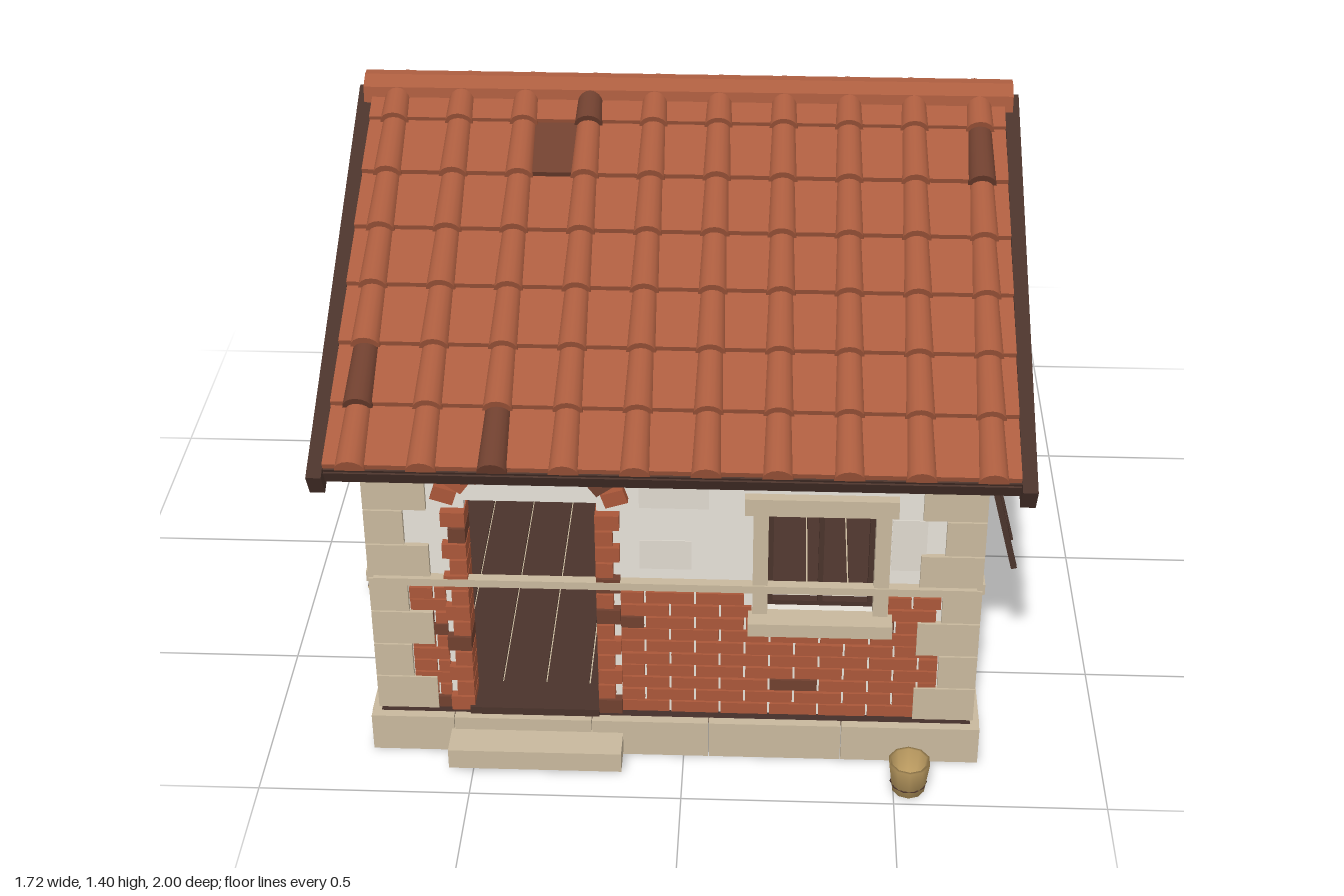
import * as THREE from 'three';

const mat = (name, color) => Object.assign(new THREE.MeshStandardMaterial({ color }), { name });
const M = {
  tile: mat('terracotta', 0xac5d3f), tileDark: mat('dark clay', 0x70402f), straw: mat('straw wood', 0xba9a60),
  wood: mat('dark wood', 0x4a332b), stone: mat('stone', 0xc8b89d), plaster: mat('plaster', 0xe6e1d8),
  worn: mat('worn plaster', 0xdfd9cf), brick: mat('brick', 0xaa5739), soot: mat('soot', 0x442e29),
};

let seed = 7;
const rnd = () => (seed = (seed * 16807) % 2147483647) / 2147483647;

function add(parent, name, geo, material, x = 0, y = 0, z = 0) {
  const m = new THREE.Mesh(geo, material);
  m.name = name;
  m.position.set(x, y, z);
  parent.add(m);
  return m;
}
function group(parent, name, x = 0, y = 0, z = 0) {
  const g = new THREE.Group();
  g.name = name;
  g.position.set(x, y, z);
  parent.add(g);
  return g;
}
// Box given by its limits on each axis
const box = (p, name, m, x0, x1, y0, y1, z0, z1) =>
  add(p, name, new THREE.BoxGeometry(x1 - x0, y1 - y0, z1 - z0), m, (x0 + x1) / 2, (y0 + y1) / 2, (z0 + z1) / 2);

const HX = 0.70, HZ = 0.812;          // half sizes of the walls
const RIDGE = 1.355, SLOPE = 0.515, ANGLE = Math.atan(SLOPE), COS = Math.cos(ANGLE);

// Wall with openings, outer face on local z = 0
function wall(f, hw, gable, openings) {
  const pts = [[-hw, 0.1], [hw, 0.1], [hw, 0.885]];
  if (gable) pts.push([0, 1.31]);
  pts.push([-hw, 0.885]);
  const s = new THREE.Shape(pts.map(p => new THREE.Vector2(...p)));
  for (const [a, b, c, d] of openings)
    s.holes.push(new THREE.Path([[a, c], [a, d], [b, d], [b, c]].map(p => new THREE.Vector2(...p))));
  add(f, 'wall', new THREE.ExtrudeGeometry(s, { depth: 0.06, bevelEnabled: false }), M.plaster, 0, 0, -0.06);
}

// Rows of bricks between the corners, leaving out blocked areas
function brickwork(f, hw, blocked) {
  const g = group(f, 'brickwork'), h = 0.0357, len = 0.117;
  for (let r = 0; r < 10; r++) {
    const y = 0.104 + r * h;
    let spans = [[-hw + 0.08, hw - 0.08]];
    for (const [a, b, c, d] of blocked) if (y + h > c && y < d)
      spans = spans.flatMap(([s, e]) => (b <= s || a >= e ? [[s, e]] : [[s, a], [b, e]]));
    for (const [s, e] of spans)
      for (let x = s - (r % 2) * len / 2; x < e; x += len) {
        const a = Math.max(x, s), b = Math.min(x + len - 0.005, e);
        if (b - a > 0.015) box(g, 'brick', rnd() < 0.06 ? M.tileDark : M.brick, a, b, y, y + h - 0.005, -0.01, 0.007 + rnd() * 0.004);
      }
  }
}

// Large window with a stone surround and a wooden casement
function stoneWindow(f, a, b, c, d) {
  const g = group(f, 'stoneWindow');
  box(g, 'lintel', M.stone, a - 0.055, b + 0.05, d, d + 0.045, -0.03, 0.025);
  box(g, 'sill', M.stone, a - 0.045, b + 0.045, c - 0.035, c, -0.03, 0.06);
  box(g, 'jamb', M.stone, a - 0.035, a, c, d, -0.03, 0.02);
  box(g, 'jamb', M.stone, b, b + 0.035, c, d, -0.03, 0.02);
  const m = (a + b) / 2, t = 0.012;
  for (const x of [a, m - t / 2, b - t]) box(g, 'casementStile', M.wood, x, x + t, c, d, -0.04, -0.02);
  for (const y of [c, d - t]) box(g, 'casementRail', M.wood, a, b, y, y + t, -0.041, -0.019);
}

// Small window with brick jambs, wooden lintel and bars
function smallWindow(f, x) {
  const g = group(f, 'smallWindow', x);
  box(g, 'lintel', M.wood, -0.11, 0.11, 0.655, 0.688, -0.05, 0.03);
  box(g, 'sill', M.stone, -0.13, 0.13, 0.427, 0.46, -0.04, 0.062);
  for (const s of [-1, 1]) for (let i = 0; i < 5; i++)
    add(g, 'jambBrick', new THREE.BoxGeometry(i % 2 ? 0.024 : 0.032, 0.036, 0.08), i % 2 ? M.tileDark : M.brick, s * 0.062, 0.479 + i * 0.039, -0.033);
  box(g, 'bar', M.wood, -0.006, 0.006, 0.46, 0.655, -0.03, -0.018);
  box(g, 'bar', M.wood, -0.05, 0.05, 0.55, 0.562, -0.031, -0.017);
}

// Faint rectangular patches in the plaster
function patches(f, list) {
  for (const [x, y, w, h] of list) add(f, 'plasterPatch', new THREE.BoxGeometry(w, h, 0.004), M.worn, x, y, 0);
}

function doorway(f) {
  const g = group(f, 'doorway'), cx = -0.33;
  for (const s of [-1, 1]) for (let i = 0; i < 13; i++) {
    const w = i % 2 ? 0.04 : 0.056;
    add(g, 'jambBrick', new THREE.BoxGeometry(w, 0.039, 0.075), rnd() < 0.2 ? M.tileDark : M.brick, cx + s * (0.149 + w / 2), 0.125 + i * 0.0445, -0.015);
  }
  for (let i = 0; i < 9; i++) {
    const t = Math.PI * (0.1 + 0.1 * i);
    const b = add(g, 'archBrick', new THREE.BoxGeometry(0.054, 0.037, 0.06), i % 4 === 1 ? M.tileDark : M.brick, cx + 0.205 * Math.cos(t), 0.685 + 0.128 * Math.sin(t), -0.01);
    b.rotation.z = t;
  }
  box(g, 'threshold', M.wood, -0.49, -0.18, 0.1, 0.12, -0.07, 0.03);
  box(g, 'doorStep', M.stone, -0.535, -0.123, 0.012, 0.065, 0.02, 0.125);
}

function roofSlope(house, side) {
  const g = group(house, side > 0 ? 'frontRoof' : 'backRoof', 0, RIDGE, -0.003);
  g.rotation.set(ANGLE, side > 0 ? 0 : Math.PI, 0, 'YXZ');
  const L = 0.95 / COS, step = 0.1425 / COS, P = 0.1565, W = 0.78;
  box(g, 'roofDeck', M.wood, -W, W, -0.03, 0, 0, L);
  box(g, 'fascia', M.wood, -W, W, -0.045, -0.008, L - 0.02, L + 0.004);
  for (const s of [-1, 1]) add(g, 'bargeboard', new THREE.BoxGeometry(0.034, 0.066, L + 0.025), M.wood, s * 0.785, -0.026, (L + 0.025) / 2);
  for (let i = 0; i < 8; i++) add(g, 'rafterTail', new THREE.BoxGeometry(0.03, 0.042, 0.18), M.tileDark, -0.7 + i * 0.2, -0.055, L - 0.11);
  const panOdd = side > 0 ? { '1,2': M.tileDark } : { '3,2': M.tileDark, '4,5': M.tileDark, '5,7': M.tileDark, '3,6': M.straw };
  const coverOdd = side > 0 ? ['0,3', '1,9', '5,0', '6,2'] : [];
  for (let i = 0; i < 7; i++) {
    const end = 0.097 / COS + i * step, len = i ? step + 0.015 : end, tilt = -0.09;
    // flat pan tiles, cut at the verges
    for (let k = -1; k < 10; k++) {
      const a = Math.max((k - 4.5) * P + 0.002, 0.014 - W), b = Math.min((k - 3.5) * P - 0.002, W - 0.014);
      add(g, 'panTile', new THREE.BoxGeometry(b - a, 0.016, len), panOdd[i + ',' + k] || M.tile, side * (a + b) / 2, 0.012, end - len / 2).rotation.x = tilt;
    }
    // half-round cover tiles
    for (let k = 0; k < 10; k++) {
      const geo = new THREE.CylinderGeometry(0.034, 0.029, len + 0.008, 8, 1, false, Math.PI / 2, Math.PI).rotateX(Math.PI / 2);
      add(g, 'coverTile', geo, coverOdd.includes(i + ',' + k) ? M.tileDark : M.tile, side * (k - 4.5) * P, 0.012, end - len / 2 + 0.006).rotation.x = tilt;
    }
  }
}

function ladder(parent) {
  const g = group(parent, 'ladder', 0.855, 0.005, 0);
  g.rotation.z = 0.249;
  box(g, 'rail', M.wood, -0.008, 0.008, 0, 0.65, 0.045, 0.062);
  box(g, 'rail', M.wood, -0.008, 0.008, 0, 0.73, -0.086, -0.069);
  for (let i = 0; i < 6; i++) box(g, 'rung', M.wood, -0.006, 0.006, 0.078 + i * 0.117, 0.092 + i * 0.117, -0.075, 0.052);
}

export function createModel() {
  const root = new THREE.Group();
  root.name = 'cottage';
  const house = group(root, 'house', -0.022, 0, -0.012);

  // Plinth: a hollow ring of stone blocks under a dark floor slab
  const plinth = group(house, 'plinth');
  const PX = 0.728, PZ = 0.858, T = 0.022;
  for (const s of [-1, 1]) {
    let x = -PX;
    for (const w of [0.2, 0.33, 0.28, 0.316, 0.33]) {
      add(plinth, 'plinthBlock', new THREE.BoxGeometry(w - 0.002, 0.1, T), M.stone, x + w / 2, 0.05, s * (PZ - T / 2));
      x += w;
    }
    const d = (PZ - T) / 3;
    for (let i = 0; i < 6; i++)
      add(plinth, 'plinthBlock', new THREE.BoxGeometry(T, 0.1, d - 0.002), M.stone, s * (PX - T / 2), 0.05, (i - 2.5) * d);
  }
  box(plinth, 'floorSlab', M.soot, T - PX, PX - T, 0.085, 0.099, T - PZ, PZ - T);

  // Corner stones, turned in alternate courses
  const quoins = group(house, 'cornerStones');
  for (const sx of [-1, 1]) for (const sz of [-1, 1]) for (let i = 0; i < 8; i++) {
    const w = i % 2 ? 0.09 : 0.145, d = i % 2 ? 0.15 : 0.09;
    add(quoins, 'cornerStone', new THREE.BoxGeometry(w, 0.092, d), M.stone, sx * (0.713 - w / 2), 0.148 + i * 0.096, sz * (0.825 - d / 2));
  }

  // Facades, each built facing +z and turned into place
  const facade = (name, x, z, turn) => {
    const f = group(house, name, x, 0, z);
    f.rotation.y = turn;
    return f;
  };
  const front = facade('frontFacade', 0, HZ, 0);
  wall(front, HX, false, [[-0.482, -0.178, 0.101, 0.70], [0.217, 0.462, 0.41, 0.69]]);
  brickwork(front, HX, [[-0.535, -0.125, 0, 1], [0.18, 0.498, 0.4, 1]]);
  stoneWindow(front, 0.217, 0.462, 0.41, 0.69);
  doorway(front);
  box(front, 'stringCourse', M.stone, -HX, HX, 0.472, 0.492, 0, 0.024);
  patches(front, [[0.0, 0.74, 0.16, 0.1], [-0.02, 0.56, 0.12, 0.08], [0.54, 0.6, 0.08, 0.14]]);

  const right = facade('rightFacade', HX, 0, Math.PI / 2);
  wall(right, HZ, true, [[-0.292, -0.079, 0.42, 0.68]]);
  brickwork(right, HZ, [[-0.327, -0.044, 0.41, 1]]);
  stoneWindow(right, -0.292, -0.079, 0.42, 0.68);
  const left = facade('leftFacade', -HX, 0, -Math.PI / 2);
  wall(left, HZ, true, [[-0.12, -0.02, 0.46, 0.655]]);
  brickwork(left, HZ, [[-0.19, 0.05, 0.45, 1]]);
  smallWindow(left, -0.07);
  for (const f of [right, left]) {
    box(f, 'stringCourse', M.stone, -HZ, HZ, 0.465, 0.493, 0, 0.02);
    box(f, 'gableBand', M.stone, -0.77, 0.77, 0.888, 0.922, 0, 0.022);
    patches(f, [[0.2, 0.77, 0.2, 0.13], [-0.45, 0.62, 0.16, 0.11], [0.48, 0.6, 0.18, 0.12]]);
  }
  const back = facade('backFacade', 0, -HZ, Math.PI);
  wall(back, HX, false, [[-0.225, -0.125, 0.46, 0.655]]);
  smallWindow(back, -0.175);
  patches(back, [[-0.42, 0.66, 0.2, 0.14], [-0.35, 0.3, 0.24, 0.12], [0.05, 0.2, 0.2, 0.1], [0.2, 0.5, 0.22, 0.15], [0.42, 0.3, 0.2, 0.12], [0.38, 0.72, 0.18, 0.1]]);

  // Interior: inward-facing lining, plank floor, hearth, pots and shelf
  const inside = group(house, 'interior');
  const lining = new THREE.BoxGeometry(2 * HX - 0.124, 0.78, 2 * HZ - 0.124).scale(-1, 1, 1);
  lining.computeVertexNormals();
  add(inside, 'lining', lining, M.stone, 0, 0.49, 0);
  for (let i = 0; i < 12; i++) add(inside, 'floorPlank', new THREE.BoxGeometry(0.102, 0.008, 1.49), M.wood, (i - 5.5) * 0.106, 0.104, 0);
  box(inside, 'hearth', M.stone, -0.63, -0.373, 0.108, 0.235, -0.4, -0.1);
  add(inside, 'cookingPot', new THREE.CylinderGeometry(0.032, 0.025, 0.065, 10), M.soot, -0.46, 0.275, -0.2);
  box(inside, 'shelf', M.wood, -0.635, -0.56, 0.508, 0.52, 0.08, 0.2);
  add(inside, 'jug', new THREE.SphereGeometry(0.022, 10, 8), M.brick, -0.6, 0.543, 0.12);

  // Roof with ridge cap
  roofSlope(house, 1);
  roofSlope(house, -1);
  const cap = new THREE.Shape([[-0.052, 1.33], [0.052, 1.33], [0.047, 1.377], [0.012, 1.396], [-0.012, 1.396], [-0.047, 1.377]].map(p => new THREE.Vector2(...p)));
  const capGeo = new THREE.ExtrudeGeometry(cap, { depth: 1.572, bevelEnabled: false }).rotateY(Math.PI / 2);
  add(house, 'ridgeCap', capGeo, M.tile, -0.786, 0, -0.005);

  // Things standing outside
  ladder(root);
  const logs = group(root, 'logPile');
  for (let r = 0; r < 3; r++) for (let i = 0; i < 3 - (r === 2 ? 1 : 0); i++)
    add(logs, 'log', new THREE.CylinderGeometry(0.016, 0.016, 0.155, 7).rotateX(Math.PI / 2), [M.wood, M.straw, M.straw],
      -0.845 + i * 0.032 + [0, 0.014, 0.03][r], 0.022 + r * 0.03, 0.155 + (i % 2) * 0.006);
  const bucket = group(root, 'bucket', 0.535, 0, 0.95);
  const profile = [[0, 0.008], [0.039, 0.008], [0.05, 0.09], [0.043, 0.09], [0.034, 0.03], [0, 0.03]];
  add(bucket, 'staves', new THREE.LatheGeometry(profile.map(p => new THREE.Vector2(...p)), 10), M.straw);
  add(bucket, 'hoop', new THREE.TorusGeometry(0.042, 0.002, 4, 10).rotateX(Math.PI / 2), M.wood, 0, 0.028, 0);
  return root;
}
